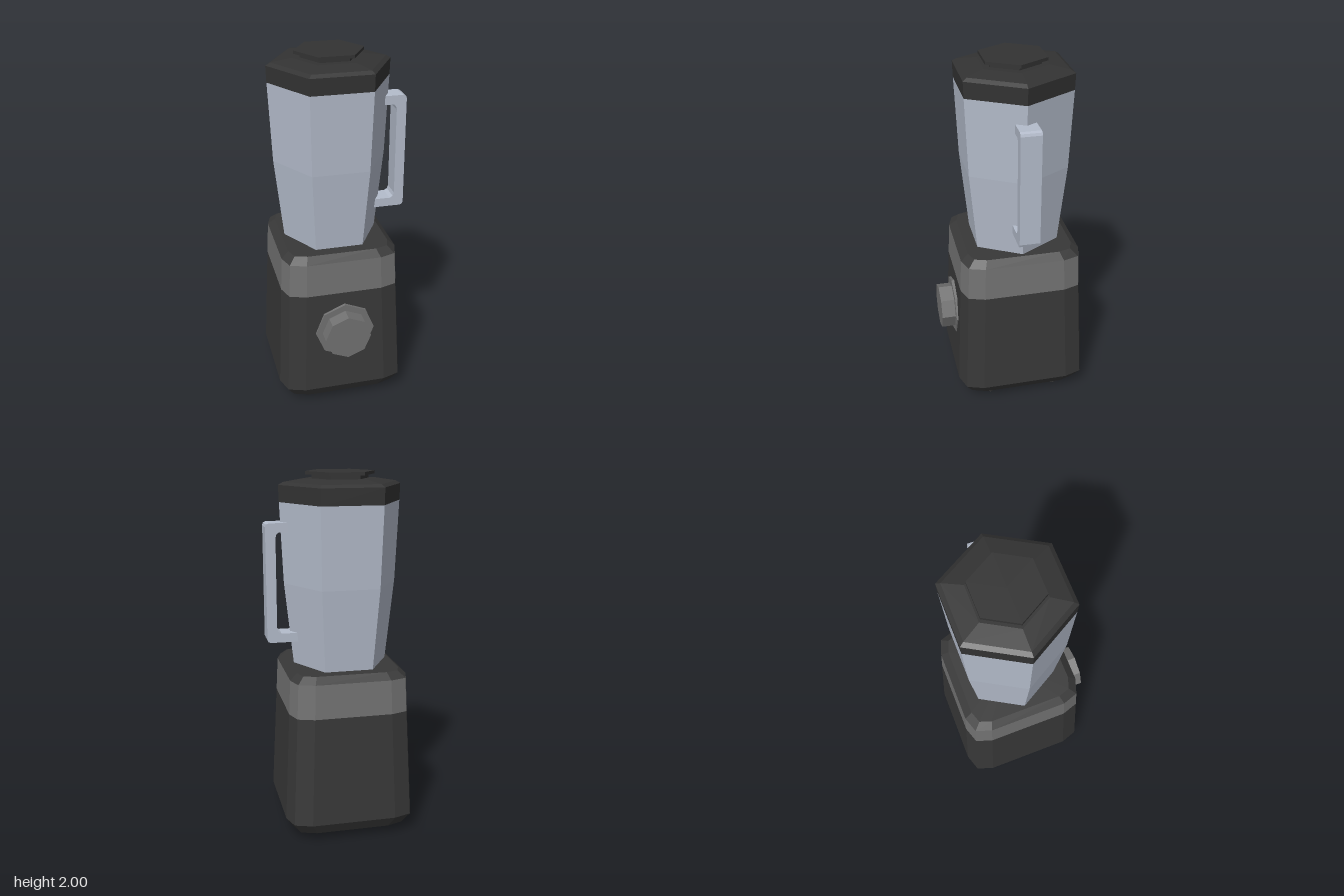
import * as THREE from 'three';

const CX = -0.03, CZ = -0.035; // vertical axis shared by base, jar and lid

const mat = (name, color) => {
  const m = new THREE.MeshStandardMaterial({ color, flatShading: true });
  m.name = name;
  return m;
};

// Rectangle ring with two-step rounded corners, counterclockwise from above
function cornerRing(y, w, d, c) {
  const quarter = [[w, d - c], [w - 0.25 * c, d - 0.25 * c], [w - c, d]];
  const back = quarter.slice().reverse();
  return [
    ...quarter.map(([x, z]) => [x, y, -z]),
    ...back.map(([x, z]) => [-x, y, -z]),
    ...quarter.map(([x, z]) => [-x, y, z]),
    ...back.map(([x, z]) => [x, y, z]),
  ];
}

// Hexagon ring with corners on the x axis
function hexRing(y, r) {
  return Array.from({ length: 6 }, (_, i) => {
    const a = i * Math.PI / 3;
    return [r * Math.cos(a), y, -r * Math.sin(a)];
  });
}

// Skin stacked rings from bottom to top, with optional end caps
function loft(rings, capBottom = true, capTop = true) {
  const pos = [];
  const n = rings[0].length;
  const tri = (...pts) => pts.forEach(p => pos.push(...p));
  for (let k = 0; k < rings.length - 1; k++) {
    for (let i = 0; i < n; i++) {
      const j = (i + 1) % n, lo = rings[k], hi = rings[k + 1];
      tri(lo[i], lo[j], hi[j]);
      tri(lo[i], hi[j], hi[i]);
    }
  }
  const first = rings[0], last = rings[rings.length - 1];
  for (let i = 0; i < n; i++) {
    const j = (i + 1) % n;
    if (capBottom) tri([0, first[0][1], 0], first[j], first[i]);
    if (capTop) tri([0, last[0][1], 0], last[i], last[j]);
  }
  const g = new THREE.BufferGeometry();
  g.setAttribute('position', new THREE.Float32BufferAttribute(pos, 3));
  g.computeVertexNormals();
  return g;
}

export function createModel() {
  const model = new THREE.Group();
  model.name = 'blender';
  const dark = mat('dark plastic', 0x383838);
  const lidDark = mat('lid plastic', 0x333333);
  const grey = mat('grey trim', 0x727272);
  const glass = mat('pale jar', 0xb4bccb);

  const add = (name, geometry, material, x = CX, y = 0, z = CZ) => {
    const m = new THREE.Mesh(geometry, material);
    m.name = name;
    m.position.set(x, y, z);
    model.add(m);
    return m;
  };

  // Motor base: lower housing, grey band, bevelled top
  const bandLow = cornerRing(0.72, 0.334, 0.347, 0.12);
  const bandHigh = cornerRing(0.91, 0.325, 0.338, 0.117);
  add('motorHousing', loft([
    cornerRing(0.045, 0.32, 0.338, 0.115),
    cornerRing(0.11, 0.363, 0.376, 0.128),
    bandLow,
  ], true, false), dark);
  add('trimBand', loft([bandLow, bandHigh], false, false), grey);
  add('baseTop', loft([bandHigh, cornerRing(0.945, 0.284, 0.295, 0.09)], false, true), dark);

  // Feet
  for (const sx of [-1, 1]) {
    for (const sz of [-1, 1]) {
      add('foot', new THREE.CylinderGeometry(0.05, 0.05, 0.05, 8), dark,
        CX + sx * 0.228, 0.025, CZ + sz * 0.193);
    }
  }

  // Control knob: backing ring and dial
  const disc = (name, r, z0, z1) => {
    const g = new THREE.CylinderGeometry(r, r, z1 - z0, 8).rotateX(Math.PI / 2);
    add(name, g, grey, CX, 0.483, (z0 + z1) / 2);
  };
  disc('knobRing', 0.168, 0.305, 0.332);
  disc('knobDial', 0.13, 0.325, 0.41);

  // Six-sided jar
  add('jar', loft([
    hexRing(0.945, 0.266), hexRing(1.4, 0.315), hexRing(1.84, 0.335),
  ]), glass);

  // Lid with stepped rim, then neck and cap
  add('lid', loft([
    hexRing(1.84, 0.335), hexRing(1.93, 0.338),
    hexRing(1.945, 0.312), hexRing(1.962, 0.2),
  ]), lidDark);
  add('lidNeck', loft([hexRing(1.955, 0.157), hexRing(1.985, 0.157)]), lidDark);
  add('lidCap', loft([hexRing(1.983, 0.191), hexRing(2, 0.191)]), lidDark);

  // Handle: bracket outline extruded across its width
  const outline = [
    [0.265, 1.735], [0.265, 1.685], [0.318, 1.685], [0.33, 1.675], [0.335, 1.655],
    [0.335, 1.16], [0.328, 1.14], [0.31, 1.13], [0.222, 1.13], [0.215, 1.08],
    [0.37, 1.08], [0.385, 1.086], [0.39, 1.1], [0.39, 1.715], [0.385, 1.729], [0.37, 1.735],
  ];
  const shape = new THREE.Shape(outline.map(([x, y]) => new THREE.Vector2(x, y)));
  const bracket = new THREE.ExtrudeGeometry(shape, { depth: 0.112, bevelEnabled: false });
  add('handle', bracket, glass, 0, 0, CZ - 0.056);

  return model;
}
